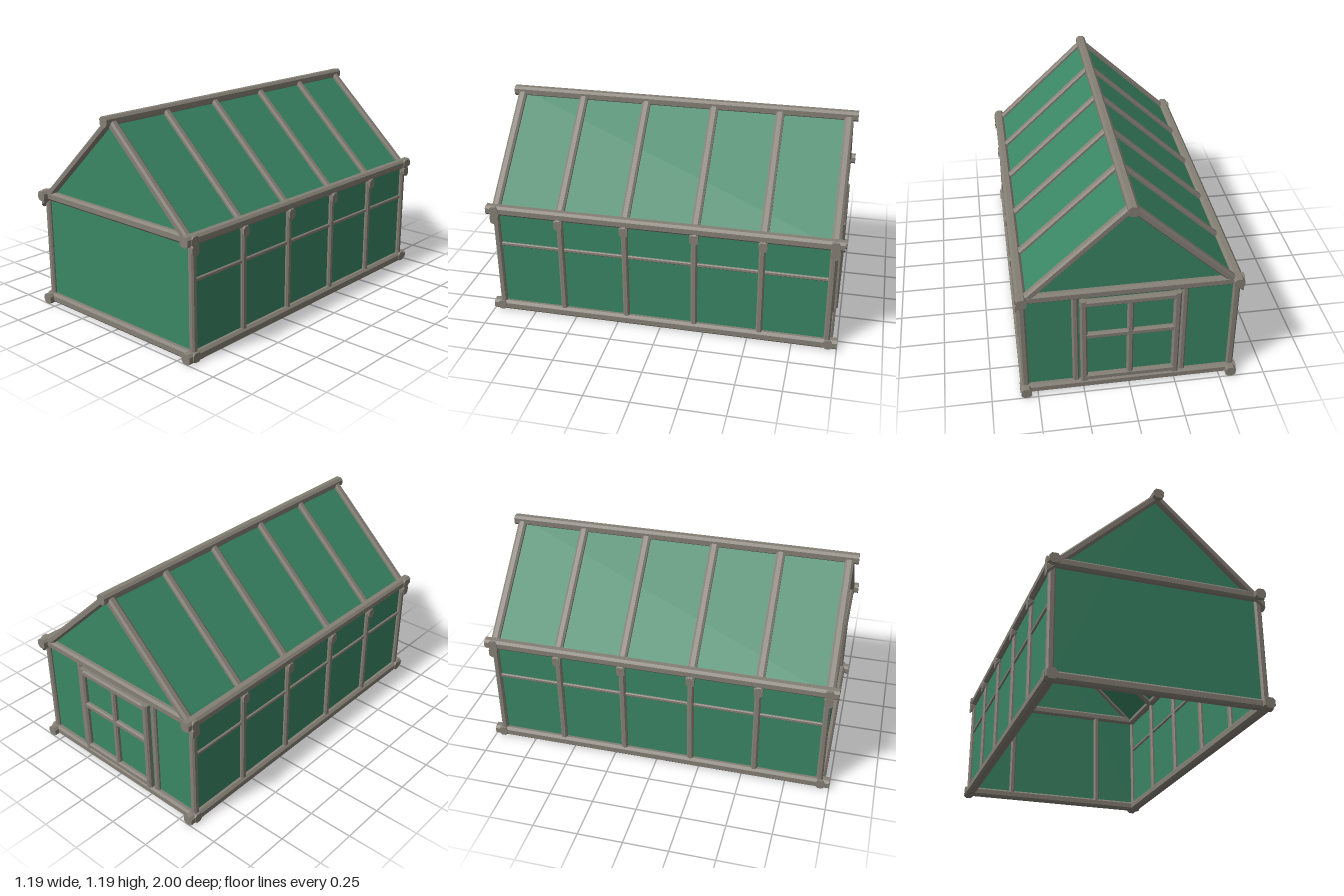
import * as THREE from 'three';

const frameMat = new THREE.MeshStandardMaterial({ color: 0x857f75 });
const glassMat = new THREE.MeshStandardMaterial({ color: 0x3a8664, side: THREE.DoubleSide });

// Chamfered bar, centred, running along z
function barGeometry(w, h, length, c = Math.min(w, h) * 0.24) {
  const x = w / 2, y = h / 2;
  const s = new THREE.Shape([
    [x, -y + c], [x, y - c], [x - c, y], [-x + c, y],
    [-x, y - c], [-x, -y + c], [-x + c, -y], [x - c, -y],
  ].map(([a, b]) => new THREE.Vector2(a, b)));
  return new THREE.ExtrudeGeometry(s, { depth: length, bevelEnabled: false }).translate(0, 0, -length / 2);
}

export function createModel() {
  const root = new THREE.Group();
  root.name = 'greenhouse';

  const W = 0.5625, Z = 0.95, EAVE = 0.65, BASE = 0.0285, RIDGE = 1.157, SLOPE = 0.933;
  const frameZ = [0.95, 0.575, 0.2, -0.195, -0.57, -0.95];

  function add(name, geo, mat, x = 0, y = 0, z = 0, parent = root) {
    const m = new THREE.Mesh(geo, mat);
    m.name = name;
    m.position.set(x, y, z);
    parent.add(m);
    return m;
  }
  // Bars along each axis; the sizes are given in world axes
  const barZ = (n, w, h, l, x, y, z, p) => add(n, barGeometry(w, h, l), frameMat, x, y, z, p);
  const barX = (n, d, h, l, x, y, z, p) => add(n, barGeometry(d, h, l).rotateY(Math.PI / 2), frameMat, x, y, z, p);
  const barY = (n, w, d, l, x, y, z, p) => add(n, barGeometry(w, d, l).rotateX(Math.PI / 2), frameMat, x, y, z, p);

  // Long beams
  barZ('ridgeBeam', 0.055, 0.055, 2, 0, RIDGE, 0);
  for (const s of [-1, 1]) {
    barZ('eaveBeam', 0.055, 0.055, 2, s * W, EAVE, 0);
    barZ('baseBeam', 0.057, 0.057, 2, s * W, BASE, 0);
    barZ('sideMidRail', 0.02, 0.022, 1.88, s * W, 0.435, 0);
  }

  // End cross rails
  for (const s of [-1, 1]) {
    barX('baseCrossRail', 0.05, 0.052, 1.19, 0, 0.031, s * Z);
    barX('tieBeam', 0.05, 0.052, 1.19, 0, EAVE, s * Z);
  }

  // Rafters with plumb-cut ends: a bar along x, sheared down the roof slope
  const R = 0.595;
  const rafterGeo = barGeometry(0.048, 0.056, R, 0.012).rotateY(Math.PI / 2).translate(R / 2, 0, 0);
  const pos = rafterGeo.attributes.position;
  for (let i = 0; i < pos.count; i++) pos.setY(i, pos.getY(i) - SLOPE * pos.getX(i));
  rafterGeo.computeVertexNormals();

  // Posts and rafters of each frame
  for (const z of frameZ) {
    for (const s of [-1, 1]) {
      barY('sidePost', 0.038, 0.036, EAVE - BASE, s * W, (EAVE + BASE) / 2, z * 0.993);
      const rafter = add('rafter', rafterGeo, frameMat, 0, RIDGE, z);
      if (s < 0) rafter.rotation.y = Math.PI;
    }
  }

  // Wall and roof panes
  const sideGeo = new THREE.PlaneGeometry(2 * Z, EAVE - BASE).rotateY(Math.PI / 2);
  const drop = SLOPE * W;
  const roofGeo = new THREE.PlaneGeometry(Math.hypot(W, drop), 2 * Z)
    .rotateX(-Math.PI / 2).rotateZ(-Math.atan2(drop, W));
  for (const s of [-1, 1]) {
    const side = add('sidePane', sideGeo, glassMat, s * W, (EAVE + BASE) / 2, 0);
    const roof = add('roofPane', roofGeo, glassMat, s * W / 2, RIDGE - drop / 2, 0);
    if (s < 0) side.rotation.y = roof.rotation.y = Math.PI;
  }
  const gable = new THREE.ShapeGeometry(new THREE.Shape([
    [-W, BASE], [W, BASE], [W, RIDGE - drop], [0, RIDGE], [-W, RIDGE - drop],
  ].map(([a, b]) => new THREE.Vector2(a, b))));
  for (const s of [-1, 1]) {
    const pane = add('endPane', gable, glassMat, 0, 0, s * 0.945);
    if (s < 0) pane.rotation.y = Math.PI;
  }

  // Back door with its jambs, standing slightly proud of the wall
  const door = new THREE.Group();
  door.name = 'backDoor';
  root.add(door);
  const doorZ = -0.965;
  for (const s of [-1, 1]) {
    barY('doorJamb', 0.035, 0.036, 0.6, s * 0.29, 0.34, -0.945, door);
    barY('doorStile', 0.038, 0.038, 0.55, s * 0.247, 0.338, doorZ, door);
  }
  barY('doorMullion', 0.034, 0.034, 0.52, 0, 0.338, doorZ, door);
  barX('doorTopRail', 0.038, 0.04, 0.5, 0, 0.593, doorZ, door);
  barX('doorMidRail', 0.034, 0.036, 0.48, 0, 0.375, doorZ, door);
  barX('doorBottomRail', 0.038, 0.04, 0.5, 0, 0.083, doorZ, door);
  add('doorPane', new THREE.PlaneGeometry(0.48, 0.52).rotateY(Math.PI), glassMat, 0, 0.338, -0.96, door);

  return root;
}
